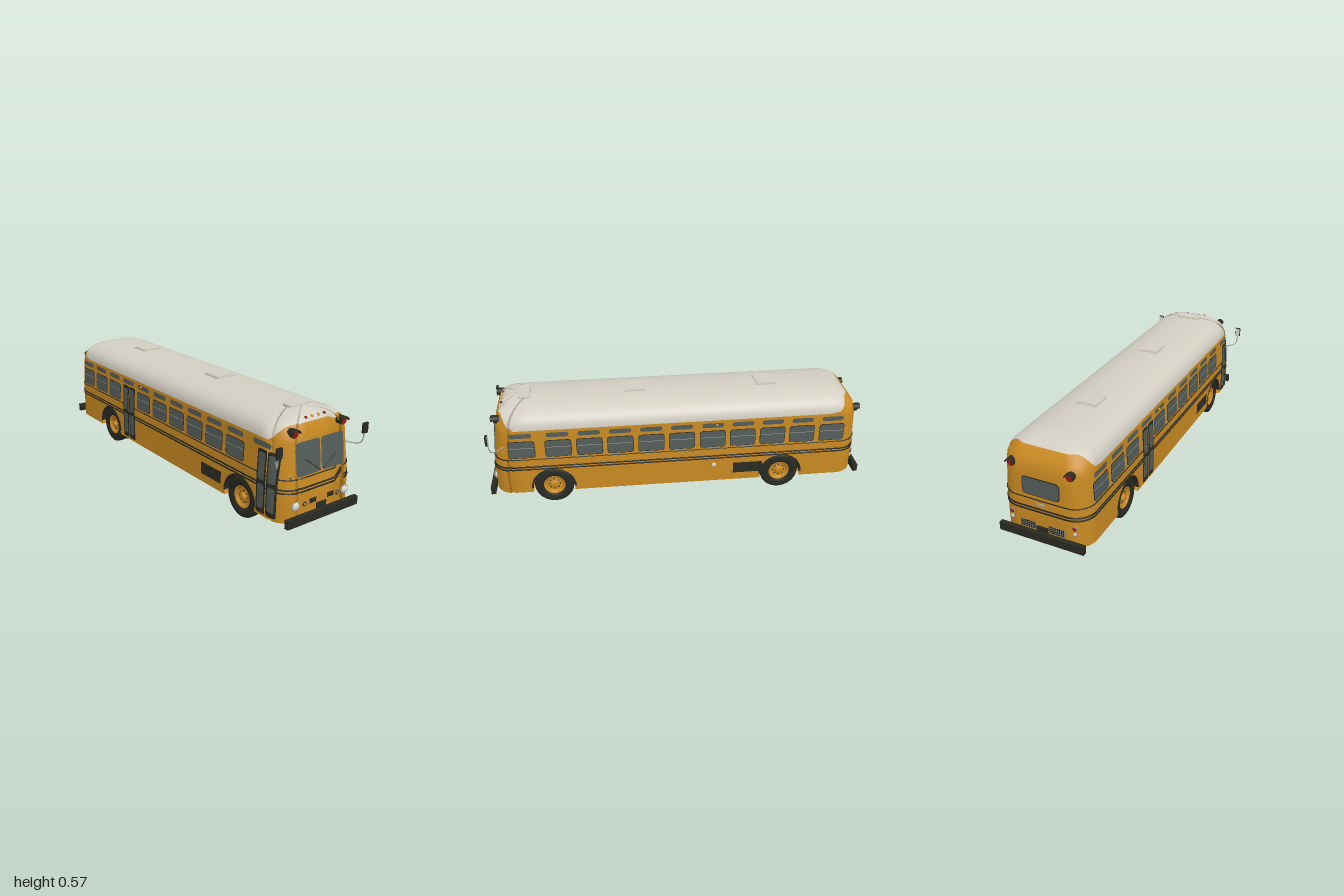
import * as THREE from 'three';

const mat = (name, color) => new THREE.MeshStandardMaterial({ name, color, side: THREE.DoubleSide });
const W = 0.225, L = 0.975, R = 0.1;            // body half width, half length, corner radius
const AXLES = [0.667, -0.558], HUB_Y = 0.104, ARCH = 0.11, TOP = 0.566;
const clamp = THREE.MathUtils.clamp, smooth = THREE.MathUtils.smoothstep;

// Body profile by height: half width and end positions
const roofT = (y) => clamp((y - 0.4) / (TOP - 0.4), 0, 1);
const halfW = (y) => (0.226 - 0.006 * clamp((y - 0.28) / 0.12, 0, 1)) * Math.sqrt(1 - roofT(y) ** 4);
const endZ = (y, s) => s > 0
  ? L - 0.03 * clamp((y - 0.2) / 0.25, 0, 1) - 0.12 * (1 - Math.sqrt(1 - roofT(y) ** 4))
  : L - 0.01 * clamp((y - 0.2) / 0.25, 0, 1) - 0.2 * (1 - Math.sqrt(1 - roofT(y) ** 3));
const corner = (d) => Math.sqrt(Math.max(0, R * R - Math.max(0, d) ** 2)) - R;
const sideX = (y, z) => (W + corner(Math.abs(z) * L / endZ(y, z) - L + R)) * halfW(y) / W;
const faceZ = (y, x, s) => (L + corner(Math.abs(x) * W / halfW(y) - W + R)) * endZ(y, s) / L;
const onBody = (p, y, grow = 0) => [p.x * (halfW(y) + grow) / W, y, p.z * (endZ(y, p.z) + grow) / L];

// Plan outline, with extra points at the wheel arches
function outline() {
  const zs = [];
  for (let i = 0; i <= 30; i++) zs.push((L - R) * (1 - i / 15));
  for (const c of AXLES) {
    for (let i = 0; i <= 24; i++) zs.push(c + ARCH * 0.9999 * Math.cos(i * Math.PI / 24));
    zs.push(c + ARCH + 0.0003, c - ARCH - 0.0003);
  }
  zs.sort((a, b) => b - a);
  const half = zs.map((z) => ({ x: W, z, side: true }));
  for (let i = 1; i <= 10; i++) {
    const a = i * Math.PI / 20;
    half.push({ x: W - R + R * Math.cos(a), z: -L + R - R * Math.sin(a) });
  }
  for (let i = 1; i < 6; i++) half.push({ x: (W - R) * (1 - i / 3), z: -L });
  const frontHalf = [];
  for (let i = 0; i < 10; i++) {
    const a = i * Math.PI / 20;
    frontHalf.push({ x: W - R + R * Math.sin(a), z: L - R + R * Math.cos(a) });
  }
  const mirror = (p) => ({ ...p, x: -p.x });
  const back = half.filter((p) => !p.side && p.z > -L);
  const front = [];
  for (let i = 0; i < 6; i++) front.push({ x: (W - R) * (-1 + i / 3), z: L });
  return [...half, mirror(half.find((p) => p.z === -L) ?? { x: W - R, z: -L }), ...back.reverse().map(mirror),
    ...zs.slice().reverse().map((z) => ({ x: -W, z, side: true })),
    ...frontHalf.slice(1).map(mirror), ...front, ...frontHalf.slice().reverse().slice(0, 9)]
    .filter((p, i, all) => i === 0 || Math.hypot(p.x - all[i - 1].x, p.z - all[i - 1].z) > 1e-6);
}
const archOf = (p) => (p.side ? AXLES.find((c) => Math.abs(p.z - c) < ARCH) : undefined);
const sill = (p) => {
  const c = archOf(p);
  return c === undefined ? 0.08 : HUB_Y + Math.sqrt(ARCH * ARCH - (p.z - c) ** 2);
};
const roofEdge = (p) => 0.455 + 0.072 * (p.z > 0 ? smooth(p.z, 0.87, 0.965) : smooth(-p.z, 0.85, 0.96));

// Closed rings of points joined into a skin; rows from splitRow up use the second material
function loft(cols, rows, at, splitRow = rows) {
  const pos = [], idx = [], n = cols.length;
  for (let i = 0; i <= rows; i++) for (const p of cols) pos.push(...at(p, i));
  for (let i = 0; i < rows; i++) for (let j = 0; j < n; j++) {
    const a = i * n + j, b = i * n + (j + 1) % n;
    idx.push(a, b, b + n, a, b + n, a + n);
  }
  const g = new THREE.BufferGeometry();
  g.setAttribute('position', new THREE.Float32BufferAttribute(pos, 3));
  g.setIndex(idx);
  g.addGroup(0, splitRow * n * 6, 0);
  if (splitRow < rows) g.addGroup(splitRow * n * 6, Infinity, 1);
  g.computeVertexNormals();
  return g;
}

// Rounded panel laid on the body: face is 'x' (sides) or 'z' (ends), s its sign
function panel(face, s, c, cy, w, h, r, eps = 0.003) {
  const g = new THREE.PlaneGeometry(w, h, 8, 12), p = g.attributes.position;
  for (let i = 0; i < p.count; i++) {
    const v = h / 2 * Math.sin(clamp(p.getY(i) / h * 2, -1, 1) * Math.PI / 2);
    const d = Math.max(0, Math.abs(v) - h / 2 + r);
    const u = c + p.getX(i) * (w / 2 - r + Math.sqrt(Math.max(0, r * r - d * d))) / (w / 2), y = cy + v;
    if (face === 'x') p.setXYZ(i, s * (sideX(y, u) + eps), y, u);
    else p.setXYZ(i, u, y, s * (faceZ(y, u, s) + eps));
  }
  g.computeVertexNormals();
  return g;
}

export function createModel() {
  const bus = new THREE.Group();
  bus.name = 'bus';
  const yellow = mat('bus yellow', 0xc98a22), white = mat('roof white', 0xd2cec2), black = mat('black', 0x2a2a23),
    glass = mat('window glass', 0x535d5a), red = mat('red lens', 0x96190f), lens = mat('clear lens', 0xdadad4),
    silver = mat('silver', 0xa2a29c), amber = mat('amber lens', 0xd08a1c);
  const add = (name, geo, m, x = 0, y = 0, z = 0, parent = bus) => {
    const mesh = new THREE.Mesh(geo, m);
    mesh.name = name;
    mesh.position.set(x, y, z);
    parent.add(mesh);
    return mesh;
  };
  const box = (name, m, w, h, d, x, y, z) => add(name, new THREE.BoxGeometry(w, h, d), m, x, y, z);

  // Body shell and roof in one smooth skin
  const cols = outline();
  add('bodyShell', loft(cols, 28, (p, i) => {
    const e = roofEdge(p);
    const y = i <= 12 ? sill(p) + (e - sill(p)) * i / 12 : e + (TOP - e) * Math.sin((i - 12) / 16 * Math.PI / 2);
    return onBody(p, y);
  }, 12), [yellow, white]);
  for (const [y, h] of [[0.2255, 0.007], [0.2405, 0.007], [0.287, 0.004]])
    add('bodyStripe', loft(cols, 3, (p, i) => onBody(p, y + h * [-0.5, -0.5, 0.5, 0.5][i], i % 3 ? 0.003 : 0)), black);

  // Floor with wheel notches
  const floor = new THREE.Shape(cols.map((p) =>
    new THREE.Vector2(archOf(p) === undefined ? p.x : Math.sign(p.x) * 0.1, p.z)));
  add('floor', new THREE.ShapeGeometry(floor).rotateX(Math.PI / 2), yellow, 0, 0.08, 0);
  for (const s of [-1, 1]) {
    box('floorRail', black, 0.01, 0.006, 0.55, s * 0.09, 0.078, -0.2);
    box('floorBracket', black, 0.02, 0.014, 0.04, s * 0.1, 0.075, 0.85);
  }
  box('exhaust', black, 0.025, 0.008, 0.2, 0, 0.077, -0.15);
  add('differential', new THREE.SphereGeometry(0.028, 20, 12).scale(1, 0.55, 1), black, 0, 0.08, AXLES[1]);

  // Wheels, wells and arch lips
  const v = (pts) => pts.map(([x, y]) => new THREE.Vector2(x, y));
  const tyre = new THREE.LatheGeometry(v([[0.055, -0.018], [0.07, -0.027], [0.094, -0.026], [0.101, -0.022], [0.104, -0.014],
    [0.104, 0.014], [0.101, 0.022], [0.094, 0.026], [0.07, 0.027], [0.055, 0.018]]), 40).rotateZ(-Math.PI / 2);
  const hub = new THREE.LatheGeometry(v([[0, 0.022], [0.014, 0.022], [0.017, 0.018], [0.018, 0.008], [0.04, 0.005],
    [0.046, 0.016], [0.053, 0.021], [0.057, 0.019]]), 32).rotateZ(-Math.PI / 2);
  for (const zc of AXLES) for (const s of [-1, 1]) {
    const wheel = new THREE.Group();
    wheel.name = 'wheel';
    wheel.position.set(s * 0.188, HUB_Y, zc);
    wheel.rotation.y = s < 0 ? Math.PI : 0;
    bus.add(wheel);
    add('tyre', tyre, black, 0, 0, 0, wheel);
    add('hub', hub, yellow, 0, 0, 0, wheel);
    if (zc < 0) add('innerTyre', tyre, black, -0.055, 0, 0, wheel);
    for (let i = 0; i < 8; i++) {
      const a = i * Math.PI / 4;
      add('wheelNut', new THREE.SphereGeometry(0.004, 8, 6), black, 0.008, 0.03 * Math.sin(a), 0.03 * Math.cos(a), wheel);
    }
    add('wheelWell', new THREE.CylinderGeometry(ARCH, ARCH, 0.125, 24, 1, true, 0, Math.PI).rotateZ(Math.PI / 2),
      black, s * 0.1625, HUB_Y, zc);
    add('wellWall', new THREE.CircleGeometry(ARCH, 24, 0, Math.PI).rotateY(Math.PI / 2), black, s * 0.1, HUB_Y, zc);
    add('archLip', new THREE.TorusGeometry(0.114, 0.006, 6, 32, Math.PI).rotateY(Math.PI / 2), black, s * 0.223, HUB_Y, zc);
  }

  // Side windows with sashes, and the small upper row
  const windows = [0.813, 0.626, 0.465, 0.305, 0.144, -0.016, -0.18, -0.34, -0.5, -0.66, -0.823];
  for (const s of [-1, 1]) windows.forEach((z, i) => {
    if (s > 0 || (i !== 0 && i !== 7)) {
      add('windowFrame', panel('x', s, z, 0.347, 0.137, 0.099, 0.014, 0.002), black);
      add('sideWindow', panel('x', s, z, 0.347, 0.131, 0.093, 0.012, 0.0035), glass);
      add('windowSash', panel('x', s, z, 0.357, 0.128, 0.003, 0.001, 0.005), silver);
    }
    add('upperWindow', panel('x', s, z, 0.428, 0.115, 0.026, 0.012), glass);
  });

  // Two-leaf doors on the right side
  for (const zc of [0.855, -0.332]) for (const k of [-1, 1]) {
    const z = zc + k * 0.033;
    add('doorLeaf', panel('x', -1, z, 0.25, 0.06, 0.31, 0.008, 0.005), black);
    add('doorUpperGlass', panel('x', -1, z, 0.325, 0.042, 0.13, 0.008, 0.0065), glass);
    add('doorLowerGlass', panel('x', -1, z, 0.18, 0.042, 0.12, 0.008, 0.0065), glass);
  }

  // Side vents, filler cap, marker lamps
  for (const [s, z] of [[1, -0.375], [-1, 0.45]]) {
    add('sideVent', panel('x', s, z, 0.157, 0.16, 0.064, 0.003), black);
    for (let i = 0; i < 5; i++) box('ventSlat', black, 0.006, 0.004, 0.15, s * 0.229, 0.133 + i * 0.012, z);
  }
  add('fillerCap', new THREE.SphereGeometry(0.012, 16, 10).scale(0.7, 1, 1), lens, 0.226, 0.183, -0.19);
  for (const s of [-1, 1])
    add('sideMarker', new THREE.SphereGeometry(0.007, 12, 8), amber, s * (sideX(0.432, 0.2) + 0.008), 0.432, -0.2);

  // Round lamp on an end face, with an optional rim
  const lamp = (name, s, x, y, r, m, rim, depth = 0.012) => {
    const z = s * faceZ(y, x, s);
    add(name, new THREE.SphereGeometry(r, 20, 12).scale(1, 1, depth / r), m, x, y, z);
    if (rim) add(name + 'Rim', new THREE.TorusGeometry(r, 0.0025, 8, 24), rim, x, y, z + s * 0.002);
  };
  for (const s of [-1, 1]) {
    lamp('headlight', 1, s * 0.155, 0.163, 0.02, lens, silver);
    lamp('turnLamp', 1, s * 0.104, 0.163, 0.009, amber, black, 0.005);
    lamp('roofLampOuter', 1, s * 0.057, 0.542, 0.007, red, null, 0.008);
    lamp('roofLampInner', 1, s * 0.02, 0.542, 0.007, amber, null, 0.008);
    lamp('cowlBolt', 1, s * 0.173, 0.296, 0.004, black, null, 0.005);
    lamp('tailLamp', -1, s * 0.165, 0.185, 0.012, red, silver, 0.01);
    lamp('reverseLamp', -1, s * 0.165, 0.155, 0.009, lens, silver, 0.008);
    for (const [e, y] of [[1, 0.495], [-1, 0.45]]) {
      const z = e * faceZ(y, s * 0.15, e);
      const disc = (r, d) => new THREE.CylinderGeometry(r, r, d, 24).rotateX(Math.PI / 2);
      add('warningLampBase', disc(0.021, 0.03), black, s * 0.15, y, z - e * 0.005);
      add('warningLamp', disc(0.018, 0.034), red, s * 0.15, y, z - e * 0.004);
      add('warningLampHood', new THREE.CylinderGeometry(0.022, 0.022, 0.036, 20, 1, true, -Math.PI / 2, Math.PI)
        .rotateX(Math.PI / 2).rotateZ(Math.PI), black, s * 0.15, y, z + e * 0.008);
    }

    // Windscreen, wipers and front vents
    add('windscreen', panel('z', 1, s * 0.076, 0.374, 0.145, 0.155, 0.016), glass);
    const at = (x, y) => new THREE.Vector3(s * x, y, faceZ(y, x, 1) + 0.008);
    add('wiper', new THREE.TubeGeometry(new THREE.LineCurve3(at(0.01, 0.304), at(0.1, 0.373)), 1, 0.002, 6), black);
    add('frontVent', panel('z', 1, s * 0.056, 0.17, 0.043, 0.024, 0.001, 0.004), black);

    // Mirrors on bent arms
    const arm = new THREE.CatmullRomCurve3([[0.218, 0.366, 0.9], [0.24, 0.362, 0.93], [0.26, 0.366, 0.955],
      [0.267, 0.385, 0.965], [0.268, 0.43, 0.968]].map(([x, y, z]) => new THREE.Vector3(s * x, y, z)));
    add('mirrorArm', new THREE.TubeGeometry(arm, 20, 0.003, 8), silver);
    box('mirrorHousing', black, 0.03, 0.05, 0.012, s * 0.267, 0.443, 0.972);
    box('mirrorGlass', lens, 0.026, 0.046, 0.002, s * 0.267, 0.443, 0.9655);

    // Rear grille halves with bars
    add('rearGrille', panel('z', -1, s * 0.075, 0.145, 0.085, 0.04, 0.002, 0.002), silver);
    for (let i = 0; i < 8; i++) box('grilleBar', black, 0.003, 0.038, 0.004, s * (0.04 + i * 0.01), 0.145, -0.977);
    for (let i = 0; i < 4; i++) box('grilleCrossbar', black, 0.082, 0.003, 0.004, s * 0.075, 0.13 + i * 0.01, -0.977);

    // Bumpers and plates
    box('bumper', black, 0.444, 0.042, 0.023, 0, 0.099, s * 0.9885);
    box('bumperMount', black, 0.2, 0.025, 0.02, 0, 0.1, s * 0.973);
    box('plate', black, 0.058, 0.03, 0.008, 0, 0.133, s * 0.978);
  }
  add('rearWindowSeal', panel('z', -1, 0, 0.352, 0.196, 0.092, 0.02, 0.002), black);
  add('rearWindow', panel('z', -1, 0, 0.352, 0.188, 0.084, 0.017, 0.0035), glass);
  box('rearHandle', silver, 0.04, 0.006, 0.008, 0, 0.268, -0.977);

  // Roof hatches and front roof vent
  for (const z of [-0.49, 0.215]) {
    box('hatchBase', white, 0.108, 0.012, 0.114, 0, 0.563, z);
    box('hatchLid', white, 0.096, 0.012, 0.1, 0, 0.567, z);
  }
  const pod = new THREE.Shape().absarc(0.053, 0.015, 0.012, 0, Math.PI / 2).absarc(-0.053, 0.015, 0.012, Math.PI / 2, Math.PI)
    .absarc(-0.053, -0.015, 0.012, Math.PI, Math.PI * 1.5).absarc(0.053, -0.015, 0.012, Math.PI * 1.5, Math.PI * 2);
  add('roofVent', new THREE.ExtrudeGeometry(pod, { depth: 0.014, bevelSize: 0.002, bevelThickness: 0.003, bevelSegments: 2 })
    .rotateX(-Math.PI / 2), white, 0, 0.556, 0.79);
  return bus;
}
